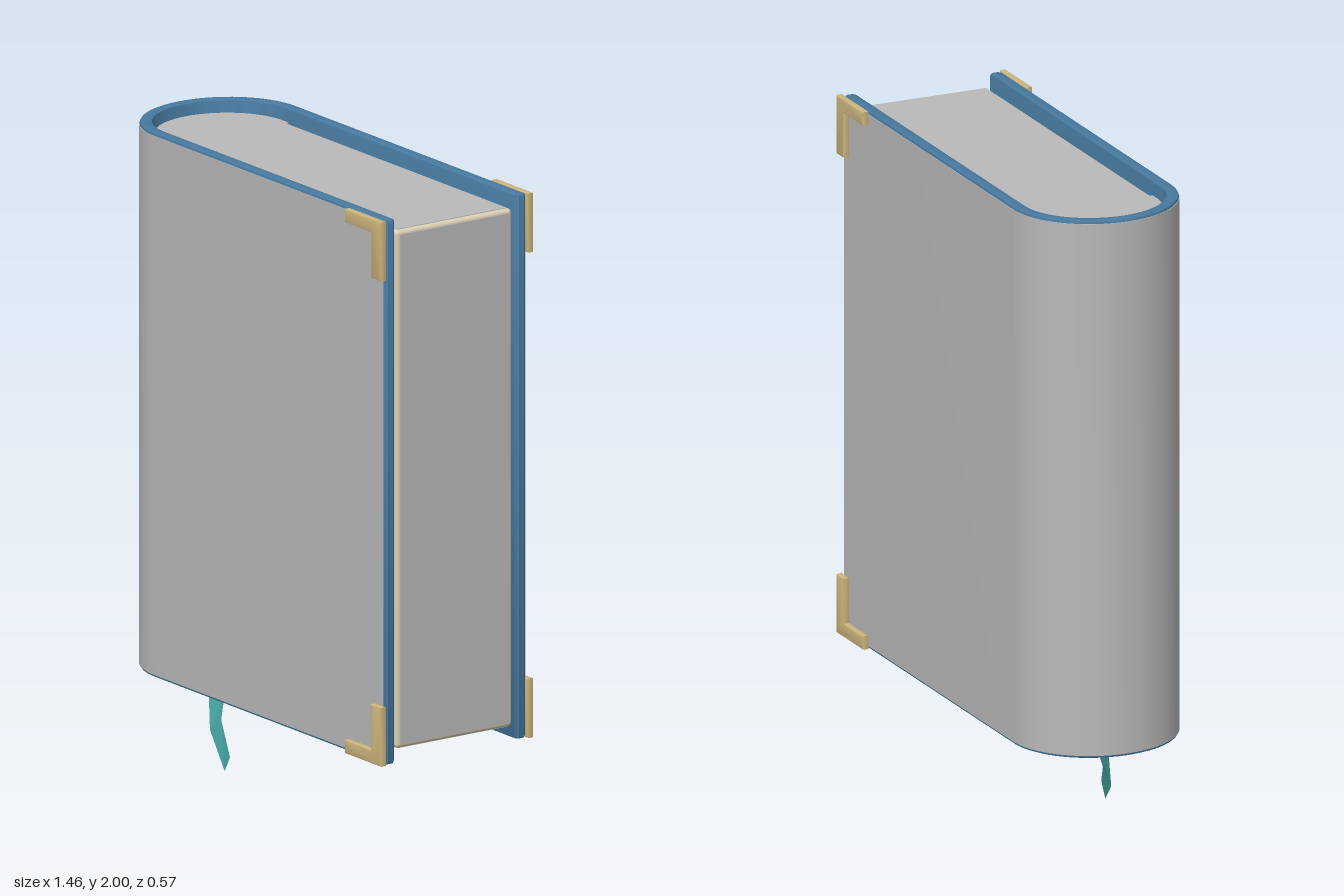
import * as THREE from 'three';
import { toCreasedNormals } from 'three/addons/utils/BufferGeometryUtils.js';
import { RoundedBoxGeometry } from 'three/addons/geometries/RoundedBoxGeometry.js';

const BOTTOM = 0.28, TOP = 2.0, MID = (BOTTOM + TOP) / 2;
const SPINE_X = -0.48; // centre line where the rounded spine begins

const material = (name, color, extra = {}) => {
  const m = new THREE.MeshStandardMaterial({ color, ...extra });
  m.name = name;
  return m;
};

// Points of a half ellipse around the spine, from +y to -y
function spineArc(rx, ry, steps = 32) {
  return Array.from({ length: steps + 1 }, (_, i) => {
    const a = Math.PI / 2 + (Math.PI * i) / steps;
    return new THREE.Vector2(SPINE_X + rx * Math.cos(a), ry * Math.sin(a));
  });
}

// U-shaped plan of a wrapped cover, with chamfered free ends
function wrapShape(rx, ry, thickness, end, chamfer) {
  const ix = rx - thickness, iy = ry - thickness, c = chamfer;
  const v = (x, y) => new THREE.Vector2(x, y);
  return new THREE.Shape([
    v(end, iy + c), v(end, ry - c), v(end - c, ry),
    ...spineArc(rx, ry),
    v(end - c, -ry), v(end, -ry + c), v(end, -iy - c), v(end - c, -iy),
    ...spineArc(ix, iy).reverse(),
    v(end - c, iy),
  ]);
}

// Extrudes a plan vertically between two heights
function upright(shape, y0, y1, bevel = 0) {
  const g = new THREE.ExtrudeGeometry(shape, {
    depth: y1 - y0 - 2 * bevel, bevelEnabled: bevel > 0, bevelThickness: bevel,
    bevelSize: bevel, bevelOffset: -bevel, bevelSegments: 2,
  });
  g.rotateX(-Math.PI / 2).translate(0, y0 + bevel, 0);
  return toCreasedNormals(g, 0.5);
}

export function createModel() {
  const book = new THREE.Group();
  book.name = 'book';
  const blue = material('cover blue', 0x47799f);
  const grey = material('plain grey', 0xb9b9b9);
  const cream = material('page cream', 0xd9cfb4);
  const gold = material('corner gold', 0xcdb57d);
  const teal = material('ribbon teal', 0x48a9a6, { side: THREE.DoubleSide });

  const add = (name, geometry, mat, parent = book) => {
    const mesh = new THREE.Mesh(geometry, mat);
    mesh.name = name;
    parent.add(mesh);
    return mesh;
  };

  // Cover boards and spine in one wrap, with a thin grey outer facing
  add('cover', upright(wrapShape(0.25, 0.265, 0.04, 0.722, 0.01), BOTTOM, TOP, 0.008), blue);
  add('coverFacing', upright(wrapShape(0.252, 0.267, 0.004, 0.713, 0), BOTTOM + 0.009, TOP - 0.009), grey);

  // Page block with cream edges and grey faces
  const x0 = -0.45, x1 = 0.714, y0 = 0.322, y1 = 1.958, r = 0.013;
  const w = x1 - x0, h = y1 - y0, d = 0.434;
  const cx = (x0 + x1) / 2, cy = (y0 + y1) / 2;
  add('pageBlock', new RoundedBoxGeometry(w, h, d, 2, r), cream).position.set(cx, cy, 0);
  add('pageTopAndBottom', new THREE.BoxGeometry(w - r, h + 0.004, d - 2 * r), grey)
    .position.set(cx - r / 2, cy, 0);
  add('pageForeEdge', new THREE.BoxGeometry(w + 0.004, h - 2 * r, d - 2 * r), grey)
    .position.set(cx, cy, 0);

  // Rounded back of the pages, inside the spine
  const back = new THREE.Shape([
    new THREE.Vector2(x0, 0.216), ...spineArc(0.209, 0.216), new THREE.Vector2(x0, -0.216),
  ]);
  add('pageBack', upright(back, y0 - 0.002, y1 + 0.002), grey);

  // Metal corner brackets, mirrored to both boards, top and bottom
  const bracket = new THREE.Shape([
    [0.54, 0.86], [0.54, 0.817], [0.675, 0.817], [0.675, 0.673], [0.728, 0.673], [0.728, 0.86],
  ].map(([x, y]) => new THREE.Vector2(x, y)));
  const bracketGeometry = toCreasedNormals(new THREE.ExtrudeGeometry(bracket, {
    depth: 0.014, bevelThickness: 0.004, bevelSize: 0.004, bevelOffset: -0.004, bevelSegments: 2,
  }).translate(0, 0, 0.268), 0.5);
  const corners = new THREE.Group();
  corners.name = 'cornerBrackets';
  corners.position.y = MID;
  book.add(corners);
  for (const sy of [1, -1]) {
    for (const sz of [1, -1]) {
      const name = (sz > 0 ? 'front' : 'back') + (sy > 0 ? 'Top' : 'Bottom') + 'Corner';
      add(name, bracketGeometry, gold, corners).scale.set(1, sy, sz);
    }
  }

  // Bookmark ribbon: rows of left x, left y, right x, right y, z
  const rows = [
    [-0.52, 0.34, -0.427, 0.34, 0.036],
    [-0.517, 0.22, -0.428, 0.22, 0.036],
    [-0.455, 0.09, -0.396, 0.135, 0.075],
    [-0.31, 0.0, -0.282, 0.05, 0.124],
  ];
  const points = [];
  for (let i = 0; i < rows.length - 1; i++) {
    const [a, b, c, e, z] = rows[i], [f, g, k, l, z2] = rows[i + 1];
    points.push(a, b, z, f, g, z2, c, e, z, c, e, z, f, g, z2, k, l, z2);
  }
  const ribbon = new THREE.BufferGeometry();
  ribbon.setAttribute('position', new THREE.Float32BufferAttribute(points, 3));
  ribbon.computeVertexNormals();
  add('bookmarkRibbon', ribbon, teal);

  return book;
}
